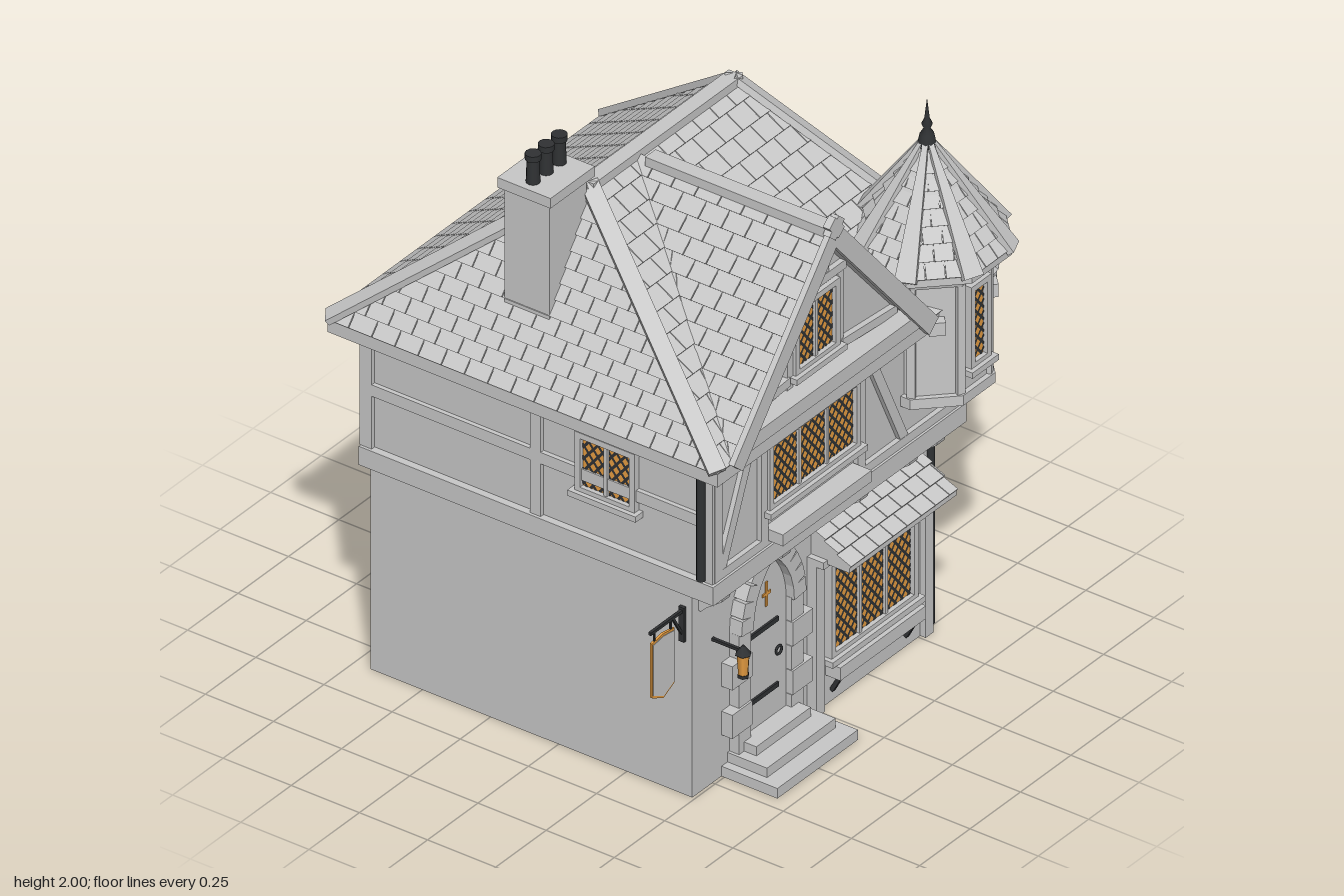
import * as THREE from 'three';
import { ConvexGeometry } from 'three/addons/geometries/ConvexGeometry.js';
import { mergeGeometries } from 'three/addons/utils/BufferGeometryUtils.js';

export function createModel() {
  const root = new THREE.Group();
  const V = (x, y, z) => new THREE.Vector3(x, y, z);
  const mat = (name, color) => Object.assign(new THREE.MeshStandardMaterial({ color }), { name });
  const grey = mat('plaster grey', 0xc8c8c8);
  const iron = mat('dark iron', 0x303234);
  const amber = mat('amber glass', 0xf0a445);

  const add = (name, geo, m = grey, parent = root) => {
    const mesh = new THREE.Mesh(geo, m);
    mesh.name = name;
    parent.add(mesh);
    return mesh;
  };
  const flat = (g) => { const f = g.index ? g.toNonIndexed() : g; f.computeVertexNormals(); return f; };
  const box = (name, x0, x1, y0, y1, z0, z1, m = grey, parent = root) => {
    const mesh = add(name, new THREE.BoxGeometry(x1 - x0, y1 - y0, z1 - z0), m, parent);
    mesh.position.set((x0 + x1) / 2, (y0 + y1) / 2, (z0 + z1) / 2);
    return mesh;
  };
  // board from a to b, facing the given normal, optionally narrowing to b
  const board = (name, a, b, w, t, normal, m = grey, taper = 1, parent = root) => {
    const y = b.clone().sub(a), g = new THREE.BoxGeometry(w, y.length(), t), p = g.attributes.position;
    for (let i = 0; i < p.count; i++) if (p.getY(i) > 0) p.setX(i, p.getX(i) * taper);
    y.normalize();
    const x = y.clone().cross(normal).normalize();
    g.applyMatrix4(new THREE.Matrix4().makeBasis(x, y, x.clone().cross(y)));
    const mid = a.clone().add(b).multiplyScalar(0.5);
    return add(name, g.translate(mid.x, mid.y, mid.z), m, parent);
  };
  const cyl = (name, rt, rb, y0, y1, x, z, m = grey, sides = 12) => {
    let g = new THREE.CylinderGeometry(rt, rb, y1 - y0, sides);
    if (sides === 8) g = flat(g.rotateY(Math.PI / 8));
    return add(name, g.translate(x, (y0 + y1) / 2, z), m);
  };

  // overlapping shingles on a trapezoid: bottom edge p0-p1, top edge p3-p2
  function shingles(name, p0, p1, p2, p3, rows, tw, t = 0.012) {
    const bottom = p1.clone().sub(p0), top = p2.clone().sub(p3), side = p3.clone().sub(p0);
    const u = (bottom.length() > top.length() ? bottom : top).clone().normalize();
    const n = u.clone().cross(side).normalize(), v = n.clone().cross(u);
    const H = side.dot(v), l1 = side.dot(u), r0 = bottom.dot(u), r1 = p2.clone().sub(p0).dot(u);
    const pos = [], clamp = THREE.MathUtils.clamp;
    const at = (a, b, h) => p0.clone().addScaledVector(u, a).addScaledVector(v, b).addScaledVector(n, h);
    const quad = (...q) => [0, 1, 2, 0, 2, 3].forEach((i) => pos.push(q[i].x, q[i].y, q[i].z));
    for (let r = 0; r < rows; r++) {
      const v0 = r / rows * H, v1 = (r + 1) / rows * H;
      const fit = (a, b) => clamp(a, l1 * b / H, r0 + (r1 - r0) * b / H);
      for (let s = Math.min(0, l1) - (r % 2) * tw / 2; s < Math.max(r0, r1); s += tw) {
        const e = s + tw - 0.003;
        const a = fit(s, v0), b = fit(e, v0), c = fit(e, v1), d = fit(s, v1);
        if (Math.max(b - a, c - d) < 0.004) continue;
        const A = at(a, v0, t), B = at(b, v0, t), C = at(c, v1, 0.002), D = at(d, v1, 0.002);
        const a0 = at(a, v0, 0), b0 = at(b, v0, 0), c0 = at(c, v1, 0), d0 = at(d, v1, 0);
        quad(A, B, C, D); quad(a0, b0, B, A); quad(d0, a0, A, D); quad(b0, c0, C, B);
      }
    }
    const g = new THREE.BufferGeometry();
    g.setAttribute('position', new THREE.Float32BufferAttribute(pos, 3));
    g.computeVertexNormals();
    return add(name, g);
  }

  // leaded window facing +z, centred on its glass
  function leadedWindow(name, w, h, lights, x, y, z, turn = 0, sill = true) {
    const g = new THREE.Group(), f = 0.02, W = w / 2, Hh = h / 2, bars = [];
    g.name = name;
    box('glass', -W, W, -Hh, Hh, -0.005, 0.004, amber, g);
    const k = 1.25, step = 0.042, reach = Hh + k * W;
    for (const s of [-1, 1]) for (let c = -reach + step / 2; c < reach; c += step) {
      const xs = [(-Hh - c) / (s * k), (Hh - c) / (s * k)].sort((a, b) => a - b);
      const xa = Math.max(-W, xs[0]), xb = Math.min(W, xs[1]);
      if (xb - xa < 0.004) continue;
      const len = (xb - xa) * Math.hypot(1, k), mid = (xa + xb) / 2;
      bars.push(new THREE.PlaneGeometry(len, 0.009).rotateZ(Math.atan(s * k)).translate(mid, s * k * mid + c, 0.006));
    }
    add('lead lattice', mergeGeometries(bars), iron, g);
    for (const s of [-1, 1]) {
      box('frame side', s * (W + f / 2) - f / 2, s * (W + f / 2) + f / 2, -Hh - f, Hh + f, -0.01, 0.02, grey, g);
      box('frame rail', -W, W, s * (Hh + f / 2) - f / 2, s * (Hh + f / 2) + f / 2, -0.01, 0.02, grey, g);
    }
    for (let i = 1; i < lights; i++) box('mullion', -W + w * i / lights - 0.006, -W + w * i / lights + 0.006, -Hh, Hh, 0, 0.015, grey, g);
    if (sill) box('sill', -W - 0.035, W + 0.035, -Hh - 0.035, -Hh - 0.015, -0.01, 0.035, grey, g);
    g.position.set(x, y, z);
    g.rotation.y = turn;
    root.add(g);
  }

  // ground floor, open underneath, and the jettied upper floor
  const plan = new THREE.Shape([[-0.6, -0.49], [0.58, -0.49], [0.58, 0.69], [-0.6, 0.69]].map((p) => new THREE.Vector2(...p)));
  plan.holes.push(new THREE.Path([[-0.55, -0.44], [-0.55, 0.64], [0.53, 0.64], [0.53, -0.44]].map((p) => new THREE.Vector2(...p))));
  add('groundFloorWalls', new THREE.ExtrudeGeometry(plan, { depth: 0.74, bevelEnabled: false }).rotateX(-Math.PI / 2));
  box('upperFloor', -0.62, 0.59, 0.74, 1.24, -0.69, 0.575);
  box('jettyBeam', -0.645, 0.61, 0.735, 0.8, -0.7, 0.6);
  for (const x of [-0.55, -0.25, 0.135, 0.38, 0.515]) {
    const s = new THREE.Shape([[0.48, 0.735], [0.585, 0.735], [0.575, 0.7], [0.52, 0.66], [0.5, 0.64], [0.48, 0.64]].map((p) => new THREE.Vector2(...p)));
    add('corbel', new THREE.ExtrudeGeometry(s, { depth: 0.04, bevelEnabled: false }).rotateY(-Math.PI / 2).translate(x + 0.02, 0, 0));
  }

  // timber framing
  const F = 0.575, FT = 0.592;
  for (const [a, b] of [[-0.625, -0.585], [-0.395, -0.36], [0.085, 0.12]]) box('frontPost', a, b, 0.8, 1.24, F, FT);
  box('frontRail', -0.62, 0.59, 0.8, 0.83, F, FT);
  box('frontPlate', -0.62, 0.59, 1.2, 1.24, F, FT + 0.008);
  board('frontBrace', V(-0.59, 0.82, 0.583), V(-0.425, 1.22, 0.583), 0.035, 0.016, V(0, 0, 1));
  board('frontBrace', V(0.32, 0.82, 0.583), V(0.135, 1.22, 0.583), 0.035, 0.016, V(0, 0, 1));
  for (const [a, b] of [[0.59, 0.605], [-0.635, -0.62]]) {
    for (const [z0, z1] of [[-0.705, -0.66], [-0.08, -0.04], [0.545, 0.59]]) box('sidePost', a, b, 0.8, 1.24, z0, z1);
    for (const [y0, y1] of [[0.985, 1.025], [1.17, 1.21]]) box('sideRail', a, b, y0, y1, -0.69, 0.58);
  }
  for (const [a, b] of [[-0.635, -0.59], [-0.02, 0.02], [0.56, 0.605]]) box('backPost', a, b, 0.8, 1.24, -0.705, -0.69);
  for (const [y0, y1] of [[0.985, 1.025], [1.17, 1.21]]) box('backRail', -0.62, 0.59, y0, y1, -0.705, -0.69);

  // main hipped roof
  const EY = 1.25, RY = 1.82, X0 = -0.705, X1 = 0.68, Z0 = -0.77, Z1 = 0.66, RZ = -0.06, RX0 = -0.37, RX1 = 0.35, GX = -0.145, GW = 0.49;
  const [bl, br, fl, fr] = [V(X0, EY, Z0), V(X1, EY, Z0), V(X0, EY, Z1), V(X1, EY, Z1)];
  const rl = V(RX0, RY, RZ), rr = V(RX1, RY, RZ), gb = V(GX, RY, RZ), vl = V(GX - GW, EY, Z1), vr = V(GX + GW, EY, Z1);
  const low = (p) => V(p.x, 1.205, p.z);
  add('roofBody', new ConvexGeometry([bl, br, fl, fr, rl, rr, low(bl), low(br), low(fl), low(fr)]));
  shingles('backRoof', br, bl, rl, rr, 13, 0.085);
  shingles('rightRoof', fr, br, rr, rr, 13, 0.085);
  shingles('leftRoof', bl, fl, rl, rl, 13, 0.085);
  shingles('frontRoofLeft', fl, vl, gb, rl, 13, 0.085);
  shingles('frontRoofRight', vr, fr, rr, gb, 13, 0.085);
  for (const [c, r, s, d] of [[bl, rl, -1, -1], [fl, rl, -1, 1], [br, rr, 1, -1], [fr, rr, 1, 1]])
    board('hipCap', c.clone().add(V(0, 0.008, 0)), r.clone().add(V(0, 0.008, 0)), 0.055, 0.022, V(s, 1.4, d));
  box('ridgeCap', RX0 - 0.01, RX1 + 0.01, RY - 0.015, RY + 0.016, RZ - 0.026, RZ + 0.026);

  // front gable
  const GZ = 0.67;
  const tri = new THREE.Shape([[GX - GW + 0.02, EY], [GX + GW - 0.02, EY], [GX, RY - 0.02]].map((p) => new THREE.Vector2(...p)));
  add('gableWall', new THREE.ExtrudeGeometry(tri, { depth: 0.65, bevelEnabled: false }).translate(0, 0, -0.06));
  const chevron = new THREE.Shape([[GX - GW, EY], [GX - GW + 0.03, EY], [GX, RY - 0.035], [GX + GW - 0.03, EY], [GX + GW, EY], [GX, RY]].map((p) => new THREE.Vector2(...p)));
  add('gableRoofBody', new THREE.ExtrudeGeometry(chevron, { depth: GZ - RZ, bevelEnabled: false }).translate(0, 0, RZ));
  const gf = V(GX, RY, GZ);
  shingles('gableRoofRight', V(GX + GW, EY, GZ), vr, gb, gf, 13, 0.085);
  shingles('gableRoofLeft', vl, V(GX - GW, EY, GZ), gf, gb, 13, 0.085);
  box('gableRidgeCap', GX - 0.026, GX + 0.026, RY - 0.015, RY + 0.016, 0, GZ + 0.01);
  for (const s of [-1, 1]) {
    board('bargeBoard', V(GX + s * (GW - 0.005), EY - 0.01, 0.672), V(GX - s * 0.012, RY + 0.005, 0.672), 0.06, 0.02, V(0, 0, 1));
    box('gableKingPost', GX + s * 0.055 - 0.012, GX + s * 0.055 + 0.012, 1.6, 1.7, 0.59, 0.605);
    box('gableStud', GX + s * 0.125 - 0.014, GX + s * 0.125 + 0.014, 1.3, 1.62, 0.59, 0.605);
    board('gableArchBrace', V(GX + s * 0.4, 1.315, 0.6), V(GX + s * 0.13, 1.335, 0.6), 0.03, 0.02, V(0, 0, 1));
    const knot = box('apexKnot', GX - 0.02, GX + 0.02, RY - 0.02, RY + 0.05, 0.66, 0.685);
    knot.rotation.z = s * 0.7;
  }
  box('gableCollar', GX - 0.15, GX + 0.15, 1.59, 1.62, 0.59, 0.608);
  box('gableTieBeam', GX - GW + 0.04, GX + GW - 0.04, 1.255, 1.305, 0.58, 0.668);

  // windows
  leadedWindow('gableWindow', 0.18, 0.2, 2, GX, 1.46, 0.595);
  leadedWindow('upperFrontWindow', 0.41, 0.2, 3, -0.14, 1.04, 0.582);
  box('upperWindowHead', -0.365, 0.09, 1.16, 1.2, F, 0.6);
  box('flowerBox', -0.36, 0.08, 0.815, 0.855, F, 0.645);
  leadedWindow('rightWindow', 0.18, 0.17, 2, 0.594, 1.05, -0.26, Math.PI / 2);
  leadedWindow('leftWindow', 0.18, 0.17, 2, -0.624, 1.05, 0.2, -Math.PI / 2);
  leadedWindow('backUpperWindow', 0.18, 0.17, 2, 0.13, 1.05, -0.694, Math.PI);
  leadedWindow('backLowerWindow', 0.17, 0.2, 2, -0.2, 0.35, -0.692, Math.PI);

  // corner turret
  const TX = 0.51, TZ = 0.53, K = 1 / Math.cos(Math.PI / 8);
  const ring = (name, a0, a1, y0, y1) => cyl(name, a1 * K, a0 * K, y0, y1, TX, TZ, grey, 8);
  ring('turretFoot', 0.09, 0.18, 0.875, 0.93);
  ring('turretBaseMoulding', 0.192, 0.192, 0.93, 0.965);
  ring('turretBody', 0.175, 0.175, 0.96, 1.39);
  ring('turretTopMoulding', 0.188, 0.2, 1.345, 1.385);
  ring('turretEave', 0.238, 0.238, 1.385, 1.41);
  ring('turretRoofCore', 0.236, 0.012, 1.41, 1.745);
  const corner = (i, a, y) => V(TX + Math.sin((i + 0.5) * Math.PI / 4) * a * K, y, TZ + Math.cos((i + 0.5) * Math.PI / 4) * a * K);
  const tip = V(TX, 1.75, TZ);
  for (let i = 0; i < 8; i++) {
    const out = corner(i, 1, 0).sub(V(TX, 0, TZ));
    shingles('turretShingles', corner(i - 1, 0.238, 1.41), corner(i, 0.238, 1.41), tip, tip, 8, 0.06, 0.01);
    board('turretHipCap', corner(i, 0.243, 1.408), tip.clone().add(V(0, 0.01, 0)), 0.066, 0.022, out.clone().add(V(0, 0.8, 0)), grey, 0.2);
    board('turretPost', corner(i, 0.172, 0.96), corner(i, 0.172, 1.35), 0.026, 0.026, out);
    if (i % 2) {
      const a = i * Math.PI / 4, peg = add('turretBeamEnd', new THREE.BoxGeometry(0.05, 0.045, 0.04));
      peg.position.set(TX + Math.sin(a) * 0.19, 1.215, TZ + Math.cos(a) * 0.19);
      peg.rotation.y = a;
    }
  }
  leadedWindow('turretFrontWindow', 0.06, 0.25, 1, TX, 1.185, TZ + 0.18);
  leadedWindow('turretSideWindow', 0.06, 0.25, 1, TX + 0.18, 1.185, TZ, Math.PI / 2);
  add('spire', new THREE.LatheGeometry([[0.03, 1.73], [0.022, 1.77], [0.01, 1.79], [0.017, 1.805], [0.008, 1.825], [0, 1.895]].map((p) => new THREE.Vector2(...p)), 12).translate(TX, 0, TZ), iron);

  // chimney
  box('chimneyStack', -0.585, -0.4, 1.3, 1.87, -0.21, -0.045);
  box('chimneyCap', -0.6, -0.38, 1.865, 1.9, -0.225, -0.03);
  for (const x of [-0.555, -0.49, -0.425]) {
    cyl('chimneyPot', 0.019, 0.022, 1.9, 1.985, x, -0.127, iron);
    cyl('chimneyPotRim', 0.025, 0.025, 1.98, 2, x, -0.127, iron);
  }

  // doorway with pointed arch and quoins
  const DX = -0.255, SP = 0.48, half = Math.acos(0.6);
  const doorShape = new THREE.Shape();
  doorShape.moveTo(-0.1, 0.09);
  doorShape.lineTo(0.1, 0.09);
  doorShape.absarc(-0.15, SP, 0.25, 0, half, false);
  doorShape.absarc(0.15, SP, 0.25, Math.PI - half, Math.PI, false);
  add('door', new THREE.ExtrudeGeometry(doorShape, { depth: 0.02, bevelEnabled: false }).translate(DX, 0, 0.485));
  for (const s of [-1, 1]) {
    for (let i = 0; i < 5; i++) {
      const a = (i + 0.5) / 5 * half, stone = add('archStone', new THREE.BoxGeometry(0.06, 0.05, 0.05));
      stone.position.set(DX + s * (-0.15 + Math.cos(a) * 0.28), SP + Math.sin(a) * 0.28, 0.51);
      stone.rotation.z = s * a;
    }
    for (let i = 0; i < 5; i++) {
      const w = i % 2 ? 0.1 : 0.06, y = 0.06 + i * 0.085, x = DX + s * (0.1 + w / 2);
      box('quoin', x - w / 2, x + w / 2, y, y + 0.083, 0.48, i % 2 ? 0.53 : 0.525);
    }
  }
  box('keystone', DX - 0.02, DX + 0.02, 0.67, 0.735, 0.48, 0.54);
  for (const y of [0.2, 0.43]) box('doorHinge', DX - 0.095, DX + 0.055, y - 0.008, y + 0.008, 0.504, 0.512, iron);
  add('doorRing', new THREE.TorusGeometry(0.014, 0.004, 6, 16).translate(DX + 0.055, 0.32, 0.512), iron);
  box('doorLightUpright', DX - 0.005, DX + 0.005, 0.5, 0.585, 0.504, 0.509, amber);
  box('doorLightBar', DX - 0.02, DX + 0.02, 0.538, 0.548, 0.504, 0.509, amber);
  [[0.2, 0, 0.035, 0.695], [0.17, 0.035, 0.068, 0.635], [0.135, 0.068, 0.1, 0.57]].forEach(([w, y0, y1, z]) => box('step', DX - w, DX + w, y0, y1, 0.48, z));

  // shop window with shingled canopy
  for (const x of [-0.01, 0.53]) box('shopPost', x - 0.02, x + 0.02, 0, 0.54, 0.48, 0.525);
  box('shopFront', 0.01, 0.51, 0, 0.54, 0.48, 0.505);
  leadedWindow('shopWindow', 0.39, 0.315, 3, 0.25, 0.345, 0.512);
  box('shopLintel', -0.03, 0.55, 0.525, 0.55, 0.48, 0.55);
  const awning = [[-0.01, 0.55, 0.63], [0.52, 0.55, 0.63], [0.52, 0.64, 0.49], [-0.01, 0.64, 0.49]].map((p) => V(...p));
  add('canopyBody', new ConvexGeometry([...awning, V(-0.01, 0.535, 0.63), V(0.52, 0.535, 0.63), V(-0.01, 0.535, 0.49), V(0.52, 0.535, 0.49)]));
  shingles('canopyShingles', ...awning, 3, 0.07);
  box('shopLedge', 0.04, 0.465, 0.105, 0.15, 0.5, 0.56);
  for (const x of [0.07, 0.435]) board('ledgeBracket', V(x, 0.04, 0.508), V(x, 0.11, 0.545), 0.014, 0.014, V(0, 0, 1), iron);

  // drainpipes
  cyl('leftDrainpipe', 0.014, 0.014, 0.81, 1.2, -0.645, 0.555, iron);
  cyl('rightDrainpipe', 0.013, 0.013, 0.01, 0.73, 0.575, 0.495, iron);
  box('rightDrainHead', 0.558, 0.594, 0.7, 0.73, 0.48, 0.515, iron);

  // wall lantern
  box('lanternArm', -0.505, -0.495, 0.5, 0.51, 0.49, 0.61, iron);
  cyl('lanternCap', 0.004, 0.026, 0.495, 0.525, -0.5, 0.603, iron, 6);
  cyl('lanternGlass', 0.021, 0.016, 0.425, 0.495, -0.5, 0.603, amber, 6);
  cyl('lanternBase', 0.018, 0.018, 0.415, 0.426, -0.5, 0.603, iron, 6);

  // hanging sign
  const shield = (k) => new THREE.Shape([[-0.056, 0.61], [-0.056, 0.42], [0, 0.392], [0.056, 0.42], [0.056, 0.61], [0, 0.618]].map(([x, y]) => new THREE.Vector2(x * k, 0.51 + (y - 0.51) * k)));
  add('signEdge', new THREE.ExtrudeGeometry(shield(1), { depth: 0.008, bevelEnabled: false }).translate(-0.705, 0, 0.454), amber);
  add('signBoard', new THREE.ExtrudeGeometry(shield(0.93), { depth: 0.012, bevelEnabled: false }).translate(-0.705, 0, 0.452));
  box('signBracket', -0.768, -0.6, 0.642, 0.652, 0.453, 0.463, iron);
  box('signWallPlate', -0.612, -0.6, 0.54, 0.66, 0.448, 0.468, iron);
  board('signStay', V(-0.605, 0.56, 0.458), V(-0.655, 0.645, 0.458), 0.008, 0.008, V(0, 0, 1), iron);
  for (const x of [-0.745, -0.665]) box('signHanger', x - 0.003, x + 0.003, 0.605, 0.645, 0.455, 0.461, iron);

  return root;
}
